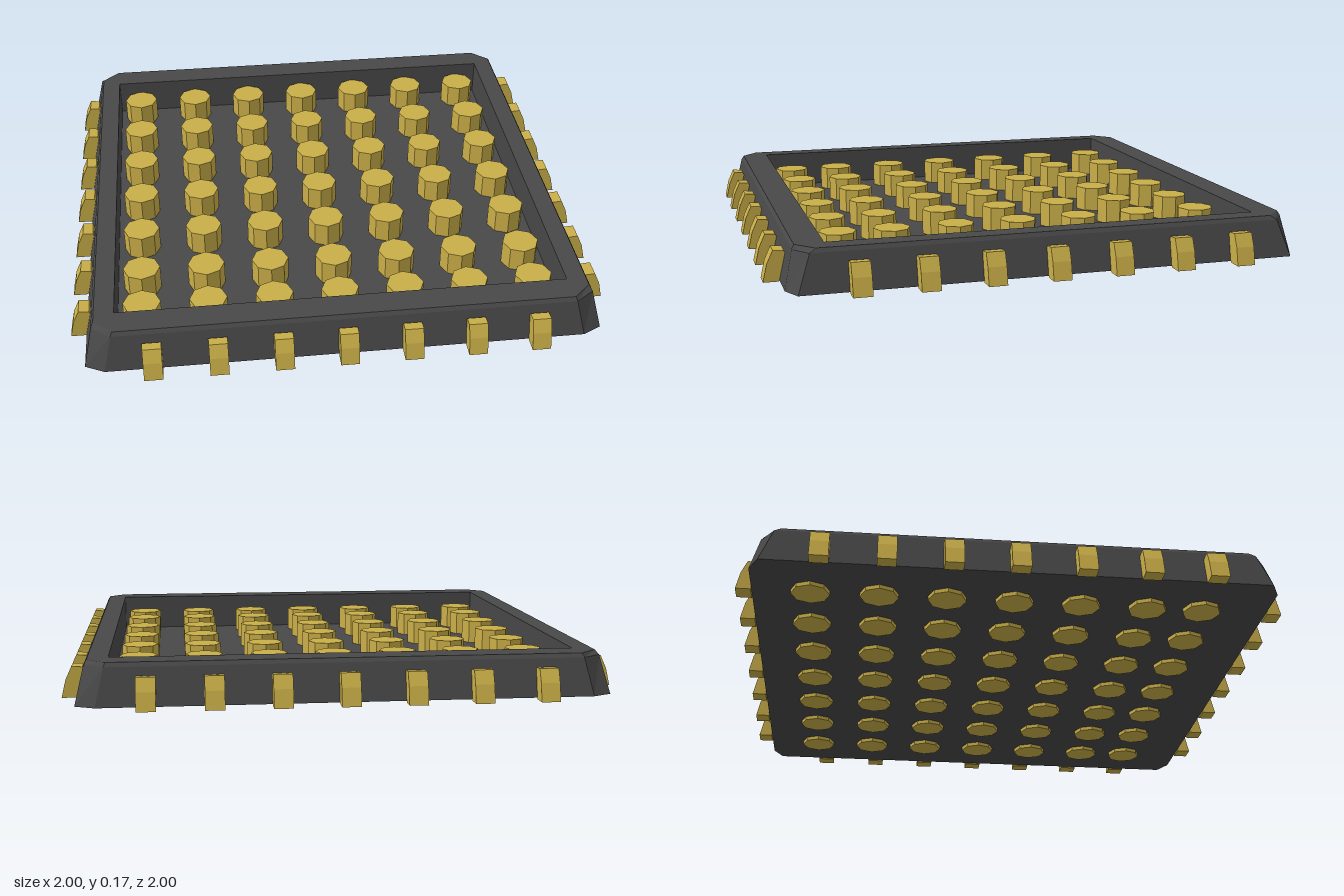
import * as THREE from 'three';

const dark = new THREE.MeshStandardMaterial({ color: 0x484848, flatShading: true });
const gold = new THREE.MeshStandardMaterial({ color: 0xc9ae48, flatShading: true });

// Rectangle with cut corners, counter-clockwise from above
function outline(hx, hz, cx, cz, y) {
  return [
    [-hx + cx, hz], [hx - cx, hz], [hx, hz - cz], [hx, -hz + cz],
    [hx - cx, -hz], [-hx + cx, -hz], [-hx, -hz + cz], [-hx, hz - cz],
  ].map(([x, z]) => [x, y, z]);
}

// Skin through successive outlines, closed at both ends
function loft(loops) {
  const pos = [];
  const tri = (a, b, c) => pos.push(...a, ...b, ...c);
  const n = loops[0].length;
  for (let k = 0; k < loops.length - 1; k++) {
    for (let i = 0; i < n; i++) {
      const j = (i + 1) % n, a = loops[k], b = loops[k + 1];
      tri(a[i], a[j], b[j]);
      tri(a[i], b[j], b[i]);
    }
  }
  const first = loops[0], last = loops[loops.length - 1];
  for (let i = 1; i < n - 1; i++) {
    tri(first[0], first[i + 1], first[i]);
    tri(last[0], last[i], last[i + 1]);
  }
  const geo = new THREE.BufferGeometry();
  geo.setAttribute('position', new THREE.Float32BufferAttribute(pos, 3));
  geo.computeVertexNormals();
  return geo;
}

export function createModel() {
  const model = new THREE.Group();
  model.name = 'chipSocket';

  // Tray: tapered walls, bevelled rim, rectangular recess
  const tray = new THREE.Mesh(loft([
    outline(0.943, 0.943, 0.07, 0.035, 0.015),
    outline(0.912, 0.912, 0.07, 0.05, 0.15),
    outline(0.903, 0.903, 0.067, 0.063, 0.165),
    outline(0.83, 0.80, 0, 0, 0.165),
    outline(0.83, 0.80, 0, 0, 0.02),
  ]), dark);
  tray.name = 'tray';
  model.add(tray);

  // Octagonal contact pins, passing through the floor
  const pins = new THREE.Group();
  pins.name = 'contactPins';
  const pinGeo = new THREE.CylinderGeometry(0.07, 0.07, 0.115, 8);
  const rows = [-0.733, -0.487, -0.242, 0.003, 0.248, 0.494, 0.697];
  for (const z of rows) {
    for (let i = -3; i <= 3; i++) {
      const pin = new THREE.Mesh(pinGeo, gold);
      pin.name = 'contactPin';
      pin.position.set(i * 0.245, 0.0575, z);
      pins.add(pin);
    }
  }
  model.add(pins);

  // Bent legs, seven on each side
  const profile = new THREE.Shape([
    [0.945, 0.01], [1.0, 0.01], [0.985, 0.075], [0.963, 0.123], [0.925, 0.12], [0.915, 0.1],
  ].map(([x, y]) => new THREE.Vector2(x, y)));
  const legGeo = new THREE.ExtrudeGeometry(profile, { depth: 0.068, bevelEnabled: false });
  legGeo.translate(0, 0, -0.034);
  ['leftLegs', 'backLegs', 'rightLegs', 'frontLegs'].forEach((name, side) => {
    const legs = new THREE.Group();
    legs.name = name;
    legs.rotation.y = side * Math.PI / 2;
    for (let i = -3; i <= 3; i++) {
      const leg = new THREE.Mesh(legGeo, gold);
      leg.name = 'leg';
      leg.position.z = i * 0.2333;
      legs.add(leg);
    }
    model.add(legs);
  });

  return model;
}
